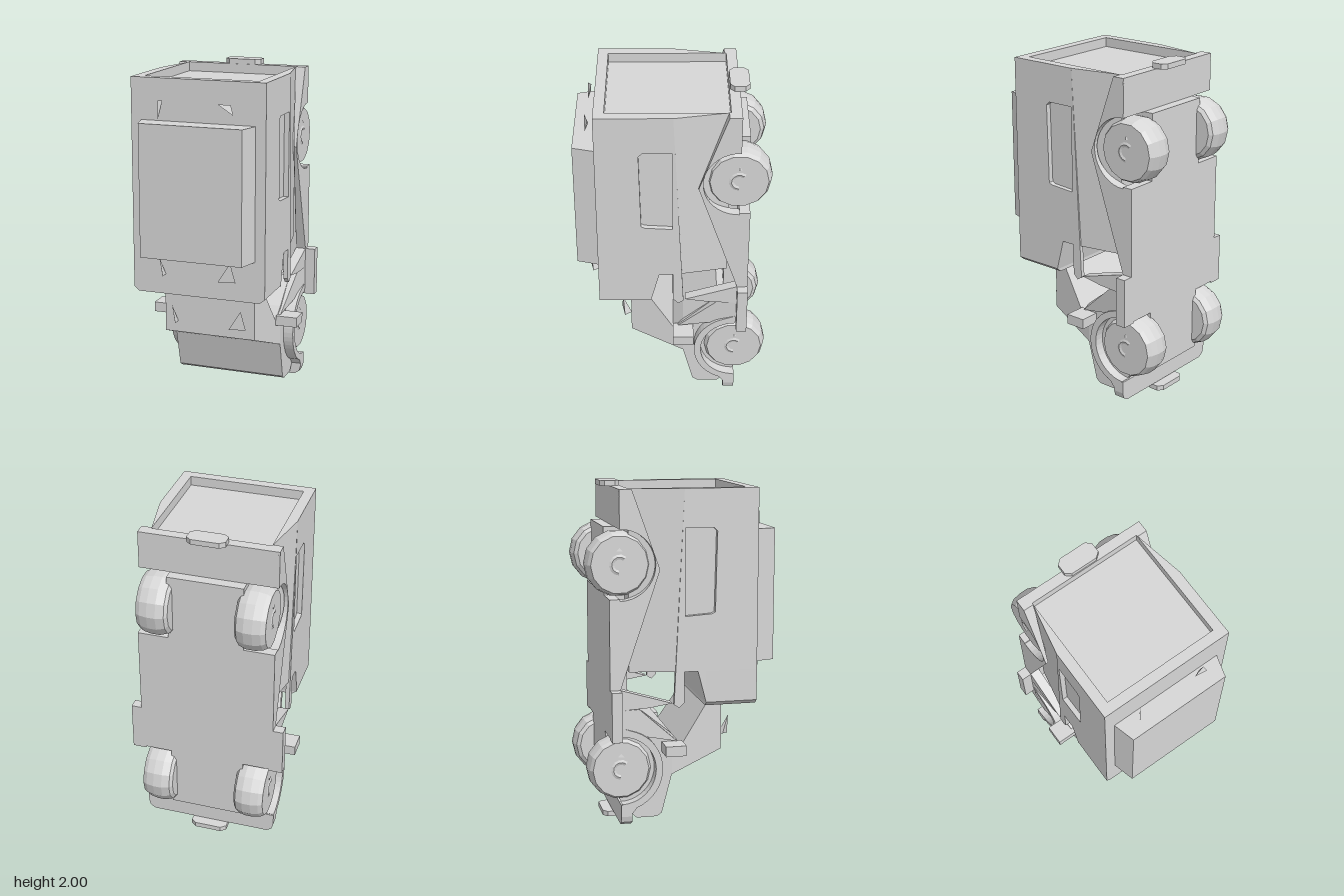
import * as THREE from 'three';
import { ConvexGeometry } from 'three/addons/geometries/ConvexGeometry.js';

export function createModel() {
  const model = new THREE.Group();
  model.name = 'camperTruckStandingOnNose';
  const grey = new THREE.MeshStandardMaterial({ color: 0xd6d6d6 });
  grey.name = 'plain grey';

  // Every part gets hard, faceted normals
  function add(name, geometry, parent = model) {
    const flat = geometry.index ? geometry.toNonIndexed() : geometry;
    flat.computeVertexNormals();
    const mesh = new THREE.Mesh(flat, grey);
    mesh.name = name;
    parent.add(mesh);
    return mesh;
  }
  const box = (name, x0, x1, y0, y1, z0, z1) =>
    add(name, new THREE.BoxGeometry(x1 - x0, y1 - y0, z1 - z0)
      .translate((x0 + x1) / 2, (y0 + y1) / 2, (z0 + z1) / 2));
  const shapeOf = (pts) => pts instanceof THREE.Shape ? pts
    : new THREE.Shape(pts.map(([a, b]) => new THREE.Vector2(a, b)));
  const extrude = (pts, depth) =>
    new THREE.ExtrudeGeometry(shapeOf(pts), { depth, bevelEnabled: false, curveSegments: 10 });
  // Side profile (z, y) carried across x
  const across = (pts, x0, x1) => extrude(pts, x1 - x0).rotateY(-Math.PI / 2).translate(x1, 0, 0);
  // Plan outline (x, z) carried along y
  const along = (pts, y0, y1) => extrude(pts, y1 - y0).rotateX(Math.PI / 2).translate(0, y1, 0);
  // Moves the x of every vertex by a rule, keeping its side
  function reshapeX(geometry, rule) {
    const p = geometry.attributes.position;
    for (let i = 0; i < p.count; i++) {
      const x = p.getX(i);
      p.setX(i, Math.sign(x) * rule(Math.abs(x), p.getZ(i)));
    }
    return geometry;
  }
  // Same side panel on the left and right
  function sidePair(name, pts, x0, x1, rule = (x) => x) {
    add(name + 'Left', reshapeX(across(pts, x0, x1), rule));
    add(name + 'Right', reshapeX(across(pts, -x1, -x0), rule));
  }

  // Camper body: tapers towards the truck bed
  const floorY = 1.915;
  add('camperBody', along([[-0.37, 0.43], [-0.37, 0], [-0.4, 0], [-0.34, -0.31],
    [0.34, -0.31], [0.4, 0], [0.37, 0], [0.37, 0.43]], 0.93, floorY));
  // Outer side skin with a sunken window
  const skin = shapeOf([[0, 0.93], [0.43, 0.93], [0.43, floorY], [0, floorY]]);
  skin.holes.push(new THREE.Path([[0.004, 1.75], [0.17, 1.75], [0.19, 1.73], [0.18, 1.27], [0.16, 1.26], [0.004, 1.25]]
    .map(([a, b]) => new THREE.Vector2(a, b))));
  sidePair('camperSide', skin, 0.37, 0.4);
  add('camperRearRim', along([[-0.4, 0.43], [-0.4, 0], [-0.34, -0.31], [-0.34, 0.37],
    [0.34, 0.37], [0.34, -0.31], [0.4, 0], [0.4, 0.43]], floorY, 1.97));
  // Overhang above the cab
  add('camperOverhang', extrude([[-0.4, 0.93], [-0.4, 0.745], [-0.37, 0.72], [0.37, 0.72],
    [0.4, 0.745], [0.4, 0.93]], 0.3).translate(0, 0, 0.13));
  add('overhangSlope', across([[0.13, 0.74], [0.13, 0.93], [0.08, 0.93]], -0.4, 0.4));
  sidePair('sideRib', [[0, 1.97], [0, 0.75], [-0.03, 0.72], [-0.06, 0.74]], 0.375, 0.4);

  // Raised roof section with sloping sides
  add('popTop', along([[-0.34, 0.43], [0.34, 0.43], [0.305, 0.555], [-0.305, 0.555]], 0.96, 1.73));

  // Cab: roof and windscreen lean inwards towards the top
  const cab = across([[0.25, 0.72], [0.25, 0.43], [-0.06, 0.31], [-0.06, 0.555], [0, 0.48], [0.16, 0.72]], -0.34, 0.34);
  add('cabRoofAndWindscreen', reshapeX(cab, (x, z) => 0.34 - 0.06 * (z + 0.06) / 0.31));
  add('hoodAndCabBase', across([[-0.06, 0.31], [-0.12, 0.08], [-0.15, 0.06], [-0.27, 0.06], [-0.31, 0.1],
    [-0.37, 0.18], [-0.37, 0.72], [-0.26, 0.72], [-0.06, 0.555]], -0.34, 0.34));

  // Front wheel arches with door panels above
  const wheelZ = -0.365, frontY = 0.365, rearY = 1.55;
  const fender = new THREE.Shape();
  fender.moveTo(-0.37, frontY + 0.2);
  fender.absarc(wheelZ, frontY, 0.2, Math.PI / 2, -Math.PI / 2, true);
  fender.lineTo(-0.31, 0.1);
  fender.absarc(wheelZ, frontY, 0.24, -1.2, 1.2, false);
  fender.lineTo(-0.37, 0.62);
  sidePair('frontFender', fender, 0.33, 0.4);
  sidePair('doorPanel', [[-0.03, 0.51], [-0.26, 0.72], [-0.37, 0.72], [-0.37, 0.58], [-0.2, 0.55]], 0.33, 0.4,
    (x, z) => x < 0.35 ? x : 0.35 - 0.05 * (z + 0.03) / 0.34);
  sidePair('bedFrontCorner', [[-0.07, 0.75], [-0.37, 0.84], [-0.37, 0.72], [-0.2, 0.73]], 0.34, 0.4);

  // Bed sides cut around the rear wheels, thinning towards the camper
  const bedSide = new THREE.Shape();
  bedSide.moveTo(-0.37, 1.97);
  bedSide.lineTo(-0.3, 1.97);
  bedSide.lineTo(-0.14, 1.52);
  bedSide.lineTo(-0.37, 0.84);
  bedSide.lineTo(-0.37, rearY - 0.2);
  bedSide.absarc(wheelZ, rearY, 0.2, -Math.PI / 2, Math.PI / 2, false);
  sidePair('bedSide', bedSide, 0.34, 0.4,
    (x, z) => x > 0.35 ? x : 0.34 + 0.045 * Math.max(0, z + 0.3) / 0.16);

  // Chassis, end blocks and running boards
  box('chassisFloor', -0.4, 0.4, 0.56, 1.36, -0.43, -0.37);
  box('chassisSpine', -0.22, 0.22, 0.18, 1.75, -0.43, -0.3);
  add('rearBumper', extrude([[-0.4, 1.75], [0.4, 1.75], [0.4, 1.93], [0.385, 1.97], [-0.385, 1.97], [-0.4, 1.93]], 0.06)
    .translate(0, 0, -0.37));
  add('frontBumper', extrude([[-0.4, 0.16], [-0.4, 0.09], [-0.39, 0.055], [-0.36, 0.035],
    [0.36, 0.035], [0.39, 0.055], [0.4, 0.09], [0.4, 0.16]], 0.065).translate(0, 0, -0.37));
  for (const [name, y] of [['frontBumperTab', 0], ['rearBumperTab', 1.97]]) {
    add(name, along([[-0.11, -0.34], [-0.08, -0.315], [0.08, -0.315], [0.11, -0.34],
      [0.11, -0.4], [0.08, -0.425], [-0.08, -0.425], [-0.11, -0.4]], y, y + 0.03));
  }
  for (const s of [-1, 1]) {
    const span = (a, b) => s > 0 ? [a, b] : [-b, -a];
    box('runningBoard', ...span(0.38, 0.46), 0.55, 0.84, -0.43, -0.37);
    box('mirror', ...span(0.33, 0.46), 0.45, 0.51, -0.12, 0);

    // Rounded wheels with a curved hub mark
    for (const y of [frontY, rearY]) {
      const wheel = new THREE.Group();
      wheel.name = y === frontY ? 'frontWheel' : 'rearWheel';
      const profile = [[0, -0.09], [0.15, -0.09], [0.172, -0.075], [0.187, -0.03], [0.187, 0.02],
        [0.178, 0.065], [0.163, 0.09], [0, 0.09]].map(([r, h]) => new THREE.Vector2(r, h));
      add('tyre', new THREE.LatheGeometry(profile, 14).rotateZ(-Math.PI / 2 * s), wheel);
      add('hubRing', new THREE.TorusGeometry(0.045, 0.014, 4, 8, Math.PI * 1.2)
        .rotateZ(s > 0 ? 0.9 : -1.5).scale(1, 1, 0.4).rotateY(Math.PI / 2).translate(s * 0.09, 0, 0), wheel);
      add('hubPoint', new THREE.ConeGeometry(0.022, 0.02, 3).scale(1, 1, 0.3)
        .rotateY(Math.PI / 2).translate(s * 0.09, 0.085, 0), wheel);
      wheel.position.set(s * 0.28, y, wheelZ);
      model.add(wheel);
    }
  }

  // Small pointed marker fins on the roofs
  const fin = (name, pts) => add(name, new ConvexGeometry(pts.map((q) => new THREE.Vector3(...q))));
  for (const [name, y, z] of [['overhangMarker', 0.84, 0.43], ['cabMarker', 0.5, 0.25]]) {
    fin(name + 'Left', [[0.14, y, z + 0.06], [0.24, y, z + 0.04], [0.21, y, z], [0.21, y + 0.115, z + 0.05]]);
    fin(name + 'Right', [[-0.215, y + 0.115, z + 0.06], [-0.195, y, z + 0.06], [-0.2, y, z], [-0.21, y, z + 0.03]]);
  }
  fin('rearMarkerLeft', [[0.14, 1.85, 0.49], [0.21, 1.845, 0.47], [0.23, 1.79, 0.485], [0.19, 1.82, 0.465]]);
  fin('rearMarkerRight', [[-0.215, 1.85, 0.485], [-0.195, 1.85, 0.465], [-0.215, 1.74, 0.49], [-0.205, 1.8, 0.47]]);

  return model;
}
